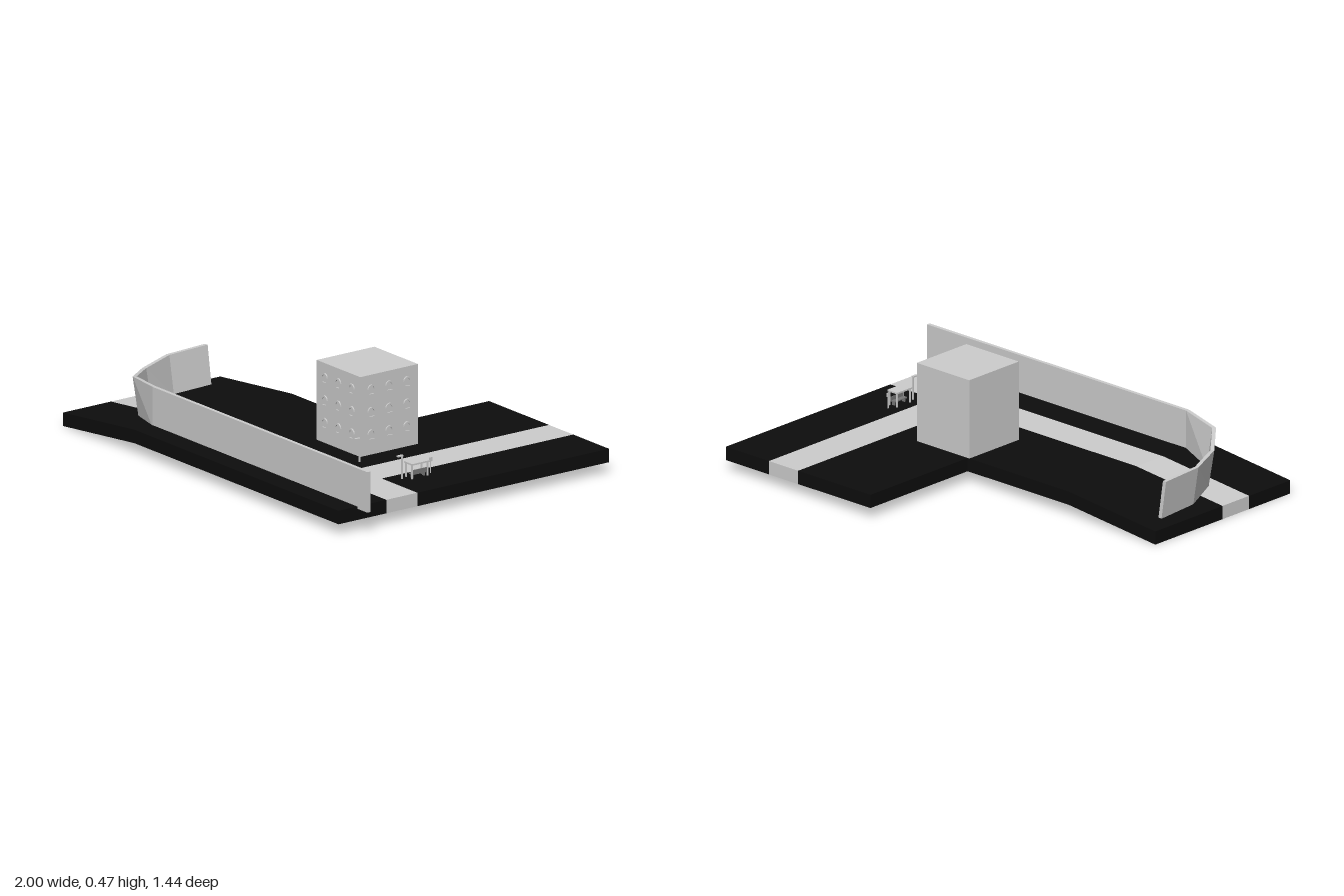
import * as THREE from 'three';

const mat = (name, color) => Object.assign(new THREE.MeshStandardMaterial({ color, flatShading: true }), { name });

export function createModel() {
  const root = new THREE.Group();
  const asphalt = mat('black ground', 0x0d0d0d);
  const concrete = mat('light concrete', 0xcccccc);
  const slate = mat('grey bench', 0x777777);

  const add = (name, geo, material, parent = root) => {
    const m = new THREE.Mesh(geo, material);
    m.name = name;
    parent.add(m);
    return m;
  };
  // Box given by its lower and upper corners
  const box = (name, x0, x1, y0, y1, z0, z1, material, parent) => {
    const m = add(name, new THREE.BoxGeometry(x1 - x0, y1 - y0, z1 - z0), material, parent);
    m.position.set((x0 + x1) / 2, (y0 + y1) / 2, (z0 + z1) / 2);
    return m;
  };

  // Ground strips that slope down at the left end
  const strip = (name, x1, z0, z1, material) => {
    const pts = [[-1, 0], [-0.5, 0.05], [x1, 0.05], [x1, 0.11], [-0.5, 0.11], [-1, 0.06]];
    const shape = new THREE.Shape(pts.map(p => new THREE.Vector2(...p)));
    const m = add(name, new THREE.ExtrudeGeometry(shape, { depth: z1 - z0, bevelEnabled: false }), material);
    m.position.z = z0;
  };
  strip('frontGround', 0.93, 0.465, 0.72, asphalt);
  strip('mainRoad', 0.93, 0.30, 0.465, concrete);
  strip('backGround', 0.51, -0.117, 0.30, asphalt);
  box('backBlock', 0.09, 0.51, 0.05, 0.11, -0.72, -0.117, asphalt);
  box('sideRoad', 0.51, 0.68, 0.05, 0.11, -0.72, 0.30, concrete);
  box('sideBlock', 0.68, 0.93, 0.05, 0.11, -0.72, 0.30, asphalt);

  // Barrier wall: stations of [outer x, outer z, top y, bottom y, lean]
  const path = [
    [1, 0.62, 0.28, 0.10, 0], [-0.505, 0.62, 0.28, 0.10, 0], [-0.71, 0.57, 0.265, 0.085, 0.025],
    [-0.845, 0.415, 0.24, 0.072, 0.025], [-0.935, 0.22, 0.24, 0.064, 0.025], [-0.953, 0, 0.24, 0.062, 0.025],
  ];
  const t = 0.017;
  const sections = path.map(([x, z, top, bottom, lean], i) => {
    const a = path[Math.max(i - 1, 0)], b = path[Math.min(i + 1, path.length - 1)];
    const len = Math.hypot(b[0] - a[0], b[1] - a[1]);
    const nx = -(b[1] - a[1]) / len, nz = (b[0] - a[0]) / len;
    const at = (d, y) => [x + nx * d, y, z + nz * d];
    return [at(lean, bottom), at(0, top), at(t, top), at(lean + t, bottom)];
  });
  const pos = [];
  const quad = (a, b, c, d) => pos.push(...a, ...b, ...c, ...a, ...c, ...d);
  for (let i = 0; i < sections.length - 1; i++) {
    const s = sections[i], e = sections[i + 1];
    for (let j = 0; j < 4; j++) quad(s[j], s[(j + 1) % 4], e[(j + 1) % 4], e[j]);
  }
  const first = sections[0], last = sections[sections.length - 1];
  quad(first[0], first[3], first[2], first[1]);
  quad(...last);
  const wallGeo = new THREE.BufferGeometry();
  wallGeo.setAttribute('position', new THREE.Float32BufferAttribute(pos, 3));
  wallGeo.computeVertexNormals();
  add('barrierWall', wallGeo, concrete);

  // Building with raised window frames on the front and left faces
  const [bx0, bx1, bz0, bz1] = [0.08, 0.385, -0.117, 0.19];
  box('building', bx0, bx1, 0.10, 0.465, bz0, bz1, concrete);
  const arch = (Type, w, h0, h1) => {
    const s = new Type();
    s.moveTo(-w, h0);
    s.lineTo(w, h0);
    s.lineTo(w, h1);
    s.absarc(0, h1, w, 0, Math.PI, false);
    s.lineTo(-w, h0);
    return s;
  };
  const frame = arch(THREE.Shape, 0.02, -0.024, 0.004);
  frame.holes.push(arch(THREE.Path, 0.013, -0.017, 0.004));
  const frameGeo = new THREE.ExtrudeGeometry(frame, { depth: 0.006, bevelEnabled: false, curveSegments: 5 });
  for (const y of [0.198, 0.298, 0.398]) {
    for (const f of [0.19, 0.5, 0.81]) {
      add('frontWindow', frameGeo, concrete).position.set(bx0 + f * (bx1 - bx0), y, bz1);
      const side = add('sideWindow', frameGeo, concrete);
      side.position.set(bx1, y, bz0 + f * (bz1 - bz0));
      side.rotation.y = Math.PI / 2;
    }
  }

  // Bus shelter with a bench
  const shelter = new THREE.Group();
  shelter.name = 'busShelter';
  root.add(shelter);
  box('shelterRoof', 0.715, 0.772, 0.172, 0.179, 0.113, 0.208, concrete, shelter);
  for (const x of [0.722, 0.764]) {
    for (const z of [0.119, 0.202]) box('shelterPost', x - 0.003, x + 0.003, 0.11, 0.173, z - 0.003, z + 0.003, concrete, shelter);
  }
  box('benchSeat', 0.737, 0.762, 0.126, 0.131, 0.122, 0.199, slate, shelter);
  box('benchBack', 0.758, 0.762, 0.131, 0.147, 0.122, 0.199, slate, shelter);
  for (const z of [0.13, 0.191]) box('benchLeg', 0.742, 0.758, 0.11, 0.126, z - 0.002, z + 0.002, slate, shelter);

  // Street lamps reaching over the road
  for (const x of [0.437, 0.736]) {
    box('lampPost', x - 0.003, x + 0.003, 0.11, 0.216, 0.231, 0.237, concrete);
    box('lampArm', x - 0.006, x + 0.006, 0.211, 0.217, 0.231, 0.259, concrete);
  }

  // Stop sign post beside the shelter
  box('signPost', 0.74, 0.744, 0.11, 0.165, 0.085, 0.089, concrete);
  box('signPlate', 0.739, 0.745, 0.162, 0.18, 0.08, 0.094, concrete);
  return root;
}
